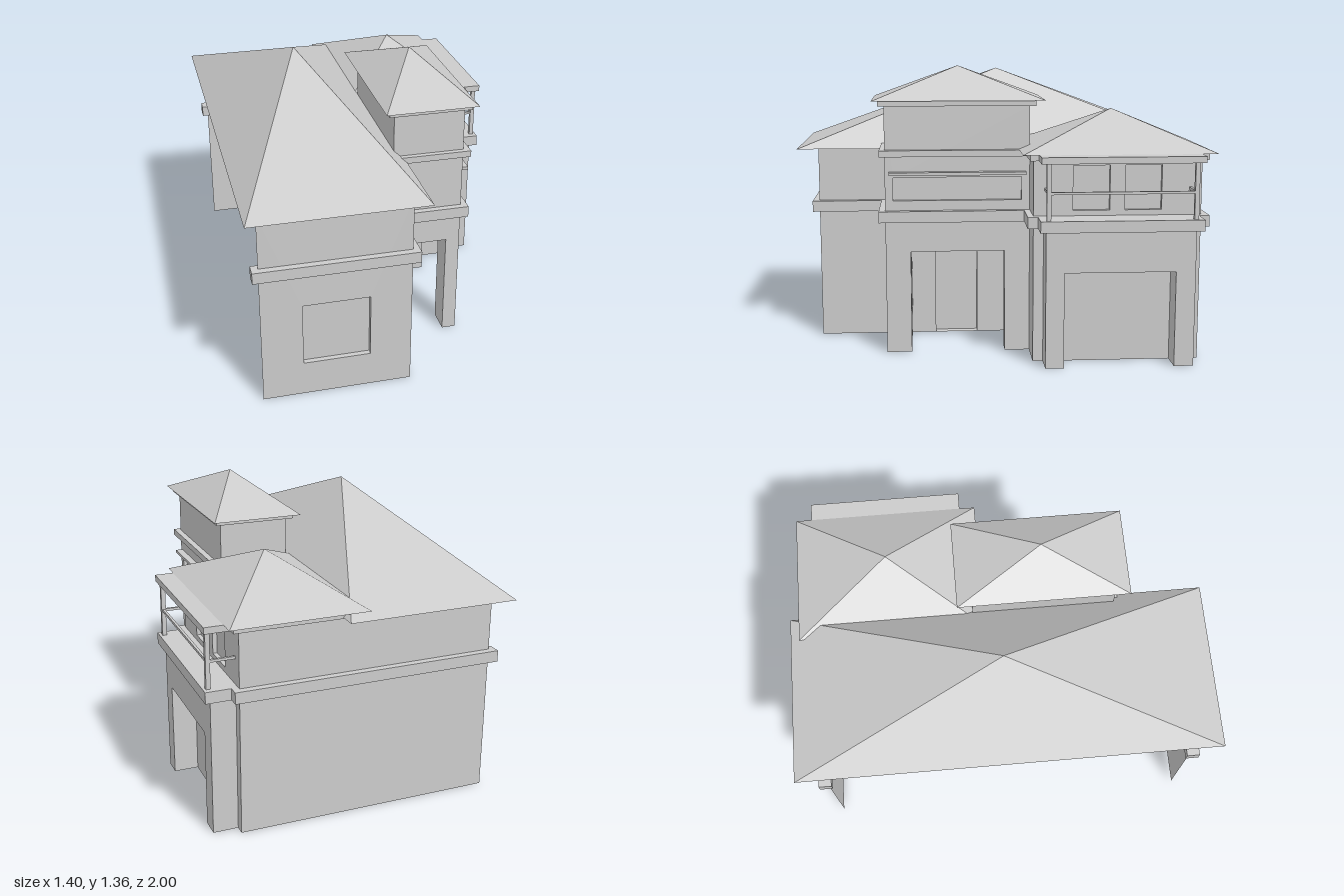
import * as THREE from 'three';

const mat = new THREE.MeshStandardMaterial({ color: 0xcccccc, flatShading: true, side: THREE.DoubleSide });

export function createModel() {
  const root = new THREE.Group();

  function add(parent, name, geometry) {
    const m = new THREE.Mesh(geometry, mat);
    m.name = name;
    parent.add(m);
    return m;
  }

  // Box given by its limits on each axis
  function box(name, x0, x1, y0, y1, z0, z1) {
    const m = add(root, name, new THREE.BoxGeometry(x1 - x0, y1 - y0, z1 - z0));
    m.position.set((x0 + x1) / 2, (y0 + y1) / 2, (z0 + z1) / 2);
  }

  // Four-sided hip roof with a closed underside
  function roof(name, x0, x1, z0, z1, y0, y1) {
    const g = new THREE.ConeGeometry(Math.SQRT1_2, 1, 4);
    g.rotateY(Math.PI / 4);
    g.scale(x1 - x0, y1 - y0, z1 - z0);
    add(root, name, g).position.set((x0 + x1) / 2, (y0 + y1) / 2, (z0 + z1) / 2);
  }

  // Wall facing +z or +x. Openings are [a0, a1, y0, y1, recess]; those at the
  // wall's foot notch the outline. A recess of 0 leaves the opening clear.
  function wall(name, facing, at, a0, a1, y0, y1, openings = [], thickness = 0) {
    const group = new THREE.Group();
    group.name = name;
    if (facing === 'x') {
      group.rotation.y = Math.PI / 2;
      group.position.x = at;
      [a0, a1] = [-a1, -a0];
      openings = openings.map(([p, q, ...rest]) => [-q, -p, ...rest]);
    } else group.position.z = at;

    const pts = [[a0, y0]];
    const holes = [];
    for (const [p, q, b, t] of openings) {
      if (b <= y0) pts.push([p, y0], [p, t], [q, t], [q, y0]);
      else holes.push([[p, b], [p, t], [q, t], [q, b]]);
    }
    pts.push([a1, y0], [a1, y1], [a0, y1]);
    const vec = list => list.map(([x, y]) => new THREE.Vector2(x, y));
    const shape = new THREE.Shape(vec(pts));
    holes.forEach(h => shape.holes.push(new THREE.Path(vec(h))));
    const g = thickness
      ? new THREE.ExtrudeGeometry(shape, { depth: thickness, bevelEnabled: false }).translate(0, 0, -thickness)
      : new THREE.ShapeGeometry(shape);
    add(group, name + 'Face', g);

    // Recess: a box without its front face
    for (const [p, q, b, t, d] of openings) {
      if (!d) continue;
      const r = new THREE.BoxGeometry(q - p, t - b, d);
      const idx = Array.from(r.index.array);
      idx.splice(24, 6);
      r.setIndex(idx);
      r.clearGroups();
      add(group, name + 'Recess', r).position.set((p + q) / 2, (b + t) / 2, -d / 2);
    }
    root.add(group);
  }

  // Main house shell, open on its left-hand flank (-x)
  wall('frontWall', 'z', 0.9, -0.645, 0.04, 0, 0.95, [[-0.457, -0.15, 0.166, 0.47, 0.025]]);
  wall('houseSideWall', 'x', 0.04, -0.118, 0.9, 0, 0.95, [[0.118, 0.327, 0, 0.47, 0.045]]);
  wall('backWall', 'z', -0.895, -0.645, 0.555, 0, 0.95);
  roof('mainRoof', -0.705, 0.097, -1, 1, 0.95, 1.327);

  // Tower: open porch below, closed room above
  wall('porchFront', 'z', 0.563, 0.04, 0.37, 0, 0.66, [[0.105, 0.305, 0, 0.505, 0]], 0.118);
  wall('porchSide', 'x', 0.37, -0.118, 0.563, 0, 0.66, [[0, 0.445, 0, 0.49, 0]], 0.065);
  wall('towerBack', 'z', -0.118, 0.04, 0.37, 0, 1.18);
  box('porchCeiling', 0.04, 0.36, 0.51, 0.64, -0.117, 0.55);
  wall('towerFront', 'z', 0.563, 0.04, 0.37, 0.66, 1.18);
  wall('towerSide', 'x', 0.37, -0.118, 0.563, 0.66, 1.18, [[-0.08, 0.525, 0.735, 0.845, 0.02]]);
  wall('towerInnerSide', 'x', 0.04, -0.118, 0.563, 0.95, 1.18);
  box('towerLedge', 0.36, 0.405, 0.858, 0.872, -0.1, 0.543);
  box('towerMidCornice', 0.04, 0.4, 0.945, 0.975, -0.145, 0.588);
  box('towerTopCornice', 0.012, 0.397, 1.18, 1.205, -0.145, 0.59);
  roof('towerRoof', -0.01, 0.42, -0.19, 0.62, 1.205, 1.36);

  // Side wing
  wall('wingFront', 'z', -0.118, 0.37, 0.555, 0, 0.95);
  wall('wingSide', 'x', 0.555, -0.895, -0.118, 0, 0.95,
    [[-0.47, -0.3, 0.713, 0.92, 0.02], [-0.71, -0.54, 0.713, 0.92, 0.02]]);
  box('wingCornice', 0.04, 0.585, 0.945, 0.975, -0.92, -0.1);
  roof('wingRoof', -0.02, 0.615, -0.956, -0.066, 0.975, 1.16);

  // Garage bay with the balcony on top
  wall('garageBay', 'x', 0.67, -0.85, -0.165, 0, 0.66, [[-0.76, -0.25, 0, 0.445, 0]], 0.115);
  box('balconyFloor', 0.55, 0.7, 0.635, 0.688, -0.88, -0.137);
  box('balconyCornice', 0.55, 0.7, 0.945, 0.975, -0.88, -0.14);
  for (const z of [-0.175, -0.843]) {
    box('balconyPost', 0.667, 0.687, 0.688, 0.945, z - 0.01, z + 0.01);
    box('balconyEndRail', 0.555, 0.67, 0.805, 0.817, z - 0.006, z + 0.006);
  }
  box('balconyFrontRail', 0.671, 0.683, 0.805, 0.817, -0.843, -0.175);

  // Belt course between the floors
  const by0 = 0.635, by1 = 0.688;
  box('frontBelt', -0.675, 0.07, by0, by1, 0.87, 0.932);
  box('houseSideBelt', 0.01, 0.07, by0, by1, 0.563, 0.9);
  box('towerFrontBelt', 0.01, 0.4, by0, by1, 0.533, 0.593);
  box('towerSideBelt', 0.34, 0.4, by0, by1, -0.118, 0.563);
  box('wingFrontBelt', 0.34, 0.585, by0, by1, -0.148, -0.09);
  box('wingSideBelt', 0.525, 0.585, by0, by1, -0.9, -0.118);
  box('backBelt', -0.675, 0.585, by0, by1, -0.928, -0.866);

  return root;
}
